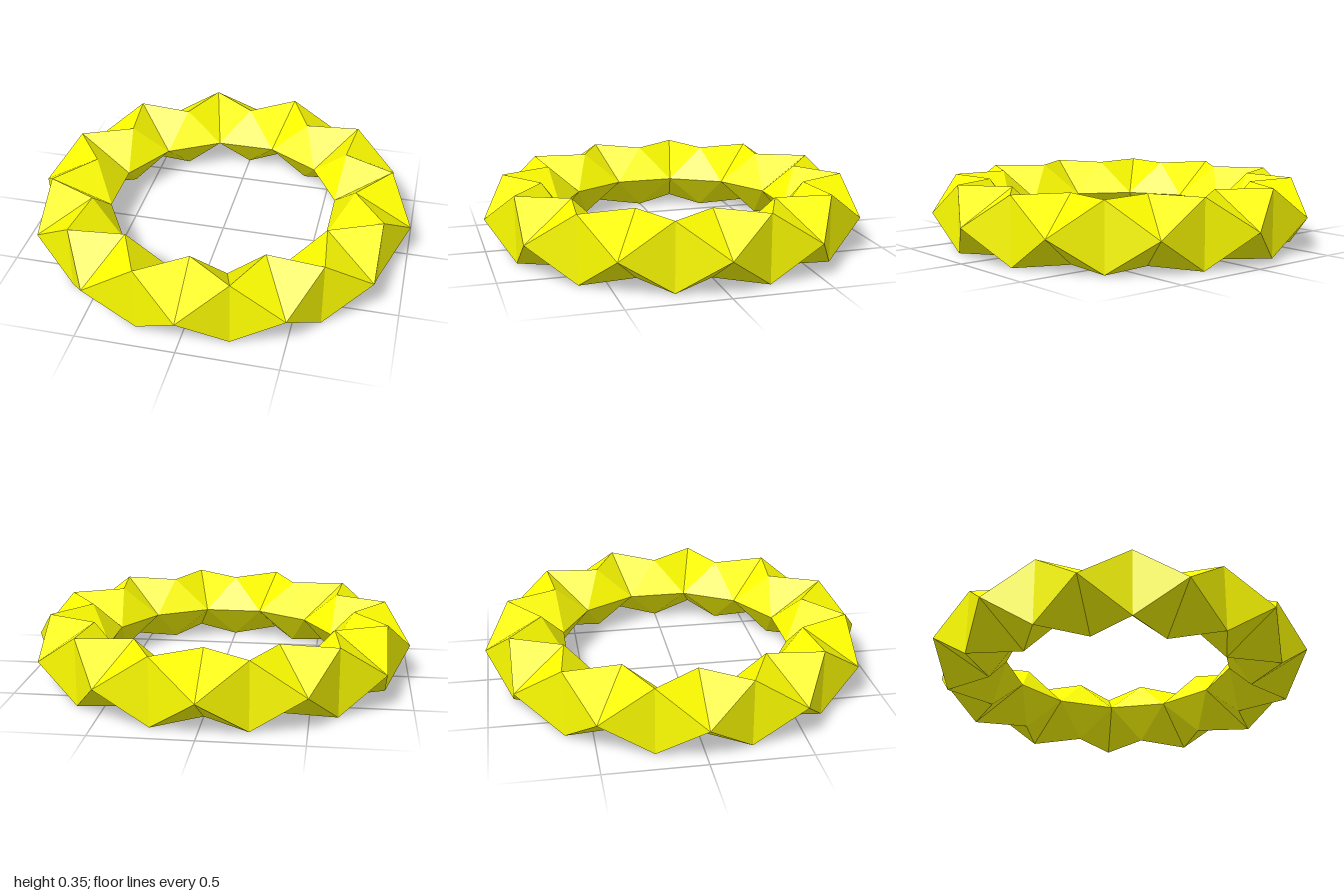
import * as THREE from 'three';

const SEGMENTS = 12;
const RING = 0.8;   // radius of the ring's centre line
const TUBE = 0.2;   // radius of the triangular cross-section
const HALF = TUBE * Math.sin(Math.PI / 3); // half the height

// Point on the ring: step counts half segments, corner 0..2 goes round the section.
// Odd sections are turned by 180 degrees, so the triangles point in and out by turns.
function point(step, corner) {
  const turn = step * Math.PI / SEGMENTS;
  const a = corner * Math.PI * 2 / 3 + (step % 2 ? Math.PI : 0);
  const r = RING + TUBE * Math.cos(a);
  return new THREE.Vector3(r * Math.sin(turn), HALF + TUBE * Math.sin(a), r * Math.cos(turn));
}

function createRingGeometry() {
  const positions = [];
  // Adds a triangle wound so that it faces away from the ring's centre line
  const face = (a, b, c) => {
    const mid = a.clone().add(b).add(c).divideScalar(3);
    const core = new THREE.Vector3(mid.x, 0, mid.z).setLength(RING).setY(HALF);
    const normal = b.clone().sub(a).cross(c.clone().sub(a));
    const order = normal.dot(mid.sub(core)) > 0 ? [a, b, c] : [a, c, b];
    order.forEach((p) => positions.push(p.x, p.y, p.z));
  };

  for (let k = 0; k < SEGMENTS; k++) {
    const s = 2 * k;
    const tip = point(s, 0);
    const ridges = [point(s, 1), point(s, 2)]; // upper, lower
    const inner = [point(s - 1, 0), point(s + 1, 0)];

    for (const side of [-1, 1]) {
      const n = s + side;
      const shoulders = [point(n, 2), point(n, 1)]; // upper, lower
      face(tip, shoulders[0], shoulders[1]); // outer wall
      for (let i = 0; i < 2; i++) {
        face(tip, shoulders[i], ridges[i]);            // outer slope
        face(shoulders[i], ridges[i], point(n, 0));    // inner slope
      }
    }
    ridges.forEach((r) => face(r, inner[0], inner[1])); // inner wall
  }

  const geometry = new THREE.BufferGeometry();
  geometry.setAttribute('position', new THREE.Float32BufferAttribute(positions, 3));
  geometry.computeVertexNormals();
  return geometry;
}

export function createModel() {
  const group = new THREE.Group();
  group.name = 'facetedRing';
  const material = new THREE.MeshStandardMaterial({ color: 0xffff00, flatShading: true });
  const ring = new THREE.Mesh(createRingGeometry(), material);
  ring.name = 'ring';
  group.add(ring);
  return group;
}
